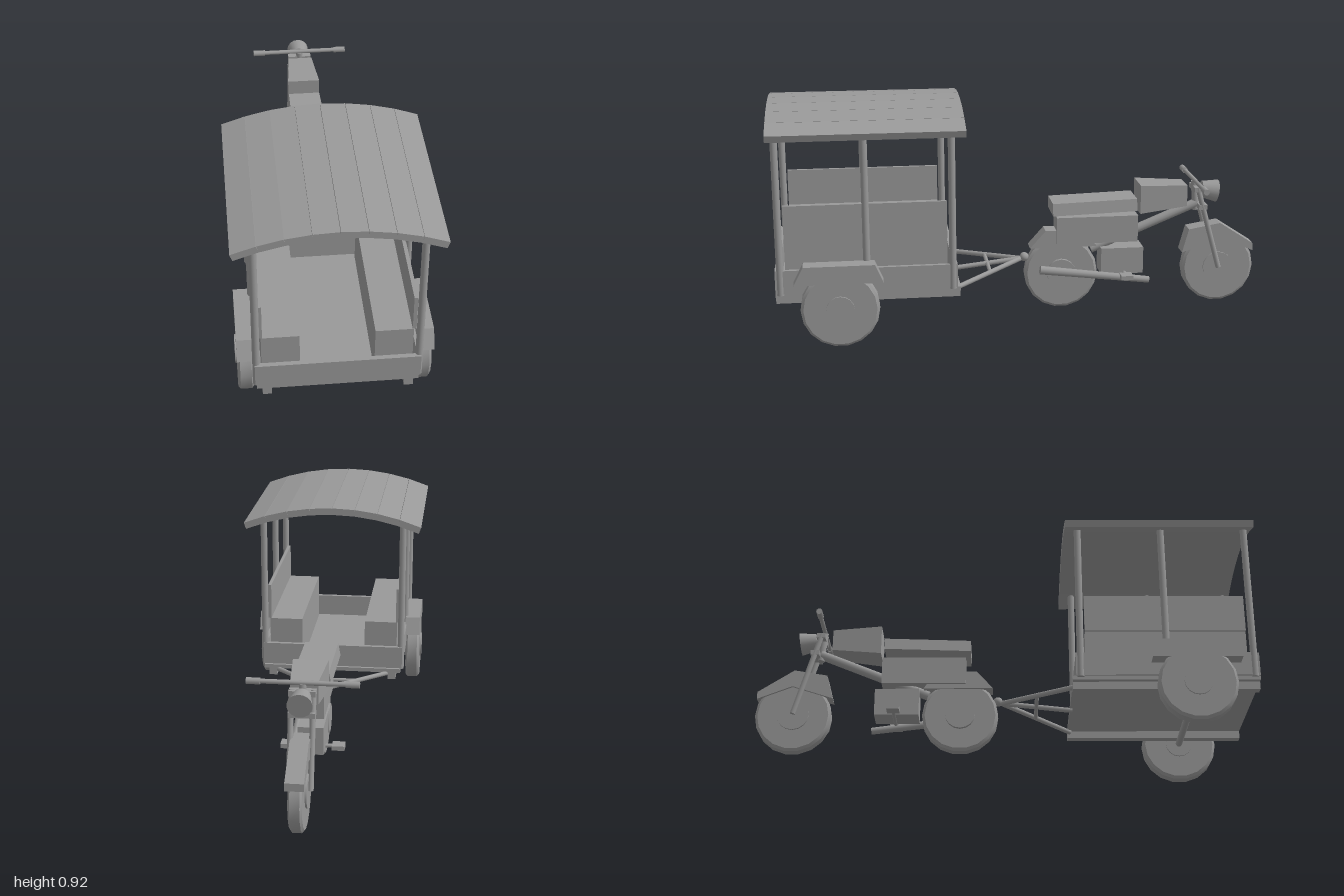
import * as THREE from 'three';
import { toCreasedNormals } from 'three/addons/utils/BufferGeometryUtils.js';

const grey = new THREE.MeshStandardMaterial({ color: 0x999999 });
grey.name = 'plain grey';

const V = (x, y, z) => new THREE.Vector3(x, y, z);

export function createModel() {
  const model = new THREE.Group();
  const trailer = new THREE.Group();
  const motorcycle = new THREE.Group();
  trailer.name = 'trailer';
  motorcycle.name = 'motorcycle';
  model.add(trailer, motorcycle);

  function add(parent, name, geometry) {
    const mesh = new THREE.Mesh(geometry, grey);
    mesh.name = name;
    parent.add(mesh);
    return mesh;
  }

  // Box given by its limits on each axis
  function box(parent, name, x0, x1, y0, y1, z0, z1) {
    const g = new THREE.BoxGeometry(x1 - x0, y1 - y0, z1 - z0);
    g.translate((x0 + x1) / 2, (y0 + y1) / 2, (z0 + z1) / 2);
    return add(parent, name, g);
  }

  // Round bar between two points
  function bar(parent, name, a, b, ra, rb = ra, sides = 12) {
    const dir = b.clone().sub(a);
    const mesh = add(parent, name, new THREE.CylinderGeometry(rb, ra, dir.length(), sides));
    mesh.position.copy(a).add(b).multiplyScalar(0.5);
    mesh.quaternion.setFromUnitVectors(V(0, 1, 0), dir.normalize());
    return mesh;
  }

  // Side outline of [z, y] points, extruded across x
  function prism(parent, name, points, x, width) {
    const shape = new THREE.Shape(points.map(([z, y]) => new THREE.Vector2(-z, y)));
    const g = new THREE.ExtrudeGeometry(shape, { depth: width, bevelEnabled: false });
    g.translate(0, 0, -width / 2).rotateY(Math.PI / 2).translate(x, 0, 0);
    return add(parent, name, g);
  }

  // Tyre with soft shoulders and a hub through its middle
  function wheel(parent, name, x, z, width, hubRadius, hubWidth) {
    const r = 0.153, h = width / 2;
    const profile = [[0, -h], [r * 0.93, -h], [r, -h * 0.7], [r, h * 0.7], [r * 0.93, h], [0, h]]
      .map(([px, py]) => new THREE.Vector2(px, py));
    const group = new THREE.Group();
    group.name = name;
    group.position.set(x, r, z);
    const tyre = new THREE.LatheGeometry(profile, 18).rotateZ(Math.PI / 2);
    add(group, 'tyre', toCreasedNormals(tyre, 0.6));
    add(group, 'hub', new THREE.CylinderGeometry(hubRadius, hubRadius, hubWidth, 16).rotateZ(Math.PI / 2));
    parent.add(group);
  }

  // Arched roof of eight planks
  const step = 0.096, roofRadius = 0.986;
  for (let i = 0; i < 8; i++) {
    const a = (i - 3.5) * step;
    const plank = add(trailer, 'roofPlank', new THREE.BoxGeometry(0.0945, 0.028, 0.752));
    plank.position.set(Math.sin(a) * roofRadius, -0.08 + Math.cos(a) * roofRadius, 0.624);
    plank.rotation.z = -a;
  }

  // Floor and end boards
  box(trailer, 'floor', -0.297, 0.297, 0.188, 0.205, 0.27, 0.99);
  box(trailer, 'frontBoard', -0.303, 0.303, 0.205, 0.3, 0.972, 0.99);
  box(trailer, 'backBoard', -0.303, 0.303, 0.205, 0.3, 0.282, 0.3);
  bar(trailer, 'axle', V(-0.31, 0.153, 0.742), V(0.31, 0.153, 0.742), 0.014);

  for (const s of [-1, 1]) {
    const sideBox = (name, x0, x1, ...rest) =>
      box(trailer, name, Math.min(s * x0, s * x1), Math.max(s * x0, s * x1), ...rest);
    // Posts, boards, benches and chassis rails
    for (const z of [0.97, 0.635, 0.3])
      bar(trailer, 'post', V(s * 0.297, 0.2, z), V(s * 0.297, 0.855, z), 0.014);
    sideBox('sideBoard', 0.289, 0.305, 0.205, 0.3, 0.29, 0.98);
    sideBox('backrest', 0.272, 0.286, 0.403, 0.553, 0.32, 0.95);
    sideBox('bench', 0.137, 0.277, 0.2, 0.402, 0.32, 0.95);
    sideBox('chassisRail', 0.243, 0.277, 0.158, 0.19, 0.27, 0.99);
    // Wheel and mudguard
    wheel(trailer, 'trailerWheel', s * 0.333, 0.742, 0.061, 0.055, 0.074);
    prism(trailer, 'trailerMudguard',
      [[0.918, 0.257], [0.88, 0.33], [0.605, 0.33], [0.573, 0.257]], s * 0.333, 0.064);
    // Slanting hitch tube
    bar(trailer, 'hitchTube', V(s * 0.24, 0.182, 0.28), V(0, 0.213, -0.005), 0.01);
  }
  bar(trailer, 'hitchCentre', V(0, 0.182, 0.28), V(0, 0.213, -0.005), 0.01);
  bar(trailer, 'hitchCross', V(-0.118, 0.198, 0.135), V(0.118, 0.198, 0.135), 0.008);
  add(trailer, 'hitchBall', new THREE.SphereGeometry(0.019, 14, 10)).position.set(0, 0.22, -0.02);

  // Motorcycle wheels and mudguards
  wheel(motorcycle, 'rearWheel', 0, -0.172, 0.052, 0.06, 0.08);
  wheel(motorcycle, 'frontWheel', 0, -0.842, 0.052, 0.064, 0.066);
  prism(motorcycle, 'rearMudguard',
    [[-0.04, 0.265], [-0.105, 0.338], [-0.27, 0.338], [-0.32, 0.265]], 0, 0.072);
  prism(motorcycle, 'frontMudguard',
    [[-0.685, 0.222], [-0.712, 0.322], [-0.845, 0.345], [-0.99, 0.25], [-0.99, 0.22], [-0.85, 0.275]],
    0, 0.07);

  // Engine, body and frame
  box(motorcycle, 'engine', -0.05, 0.05, 0.145, 0.257, -0.515, -0.337);
  box(motorcycle, 'body', -0.05, 0.05, 0.283, 0.396, -0.49, -0.15);
  bar(motorcycle, 'frameTube', V(0, 0.245, -0.3), V(0, 0.428, -0.745), 0.019);

  // Seat, narrower on top
  const seat = new THREE.BoxGeometry(0.152, 0.05, 0.35);
  const sp = seat.attributes.position;
  for (let i = 0; i < sp.count; i++) {
    if (sp.getY(i) > 0) sp.setX(i, sp.getX(i) * 0.88);
    sp.setY(i, sp.getY(i) - sp.getZ(i) * 0.03);
  }
  seat.computeVertexNormals();
  add(motorcycle, 'seat', seat).position.set(0, 0.442, -0.305);

  // Fuel tank, narrowing toward the steering
  const tank = new THREE.BoxGeometry(0.136, 0.12, 0.2);
  const tp = tank.attributes.position;
  for (let i = 0; i < tp.count; i++) {
    if (tp.getZ(i) < 0) {
      tp.setX(i, tp.getX(i) * 0.76);
      tp.setY(i, tp.getY(i) > 0 ? 0.05 : -0.038);
    }
  }
  tank.computeVertexNormals();
  add(motorcycle, 'fuelTank', tank).position.set(0, 0.467, -0.595);

  // Fork, handlebar and grips
  for (const s of [-1, 1]) {
    bar(motorcycle, 'forkTube', V(s * 0.04, 0.153, -0.842), V(s * 0.04, 0.505, -0.742), 0.011);
    bar(motorcycle, 'grip', V(s * 0.155, 0.528, -0.735), V(s * 0.206, 0.528, -0.735), 0.0125);
    // Foot pegs
    box(motorcycle, 'footPeg', s < 0 ? -0.125 : 0.075, s < 0 ? -0.075 : 0.125, 0.14, 0.158, -0.46, -0.41);
  }
  bar(motorcycle, 'handlebar', V(-0.17, 0.528, -0.735), V(0.17, 0.528, -0.735), 0.009);
  bar(motorcycle, 'pegBar', V(-0.09, 0.149, -0.435), V(0.09, 0.149, -0.435), 0.008);
  bar(motorcycle, 'steeringStem', V(0, 0.40, -0.745), V(0, 0.525, -0.735), 0.014);
  for (const [y, z] of [[0.495, -0.745], [0.42, -0.766]])
    box(motorcycle, 'forkYoke', -0.05, 0.05, y - 0.01, y + 0.01, z - 0.018, z + 0.018);

  // Headlight
  bar(motorcycle, 'headlight', V(0, 0.487, -0.765), V(0, 0.477, -0.832), 0.034, 0.047, 18);

  // Exhaust, wider toward the rear
  bar(motorcycle, 'exhaust', V(0.073, 0.122, -0.535), V(0.086, 0.187, -0.075), 0.014, 0.018, 12);

  return model;
}
